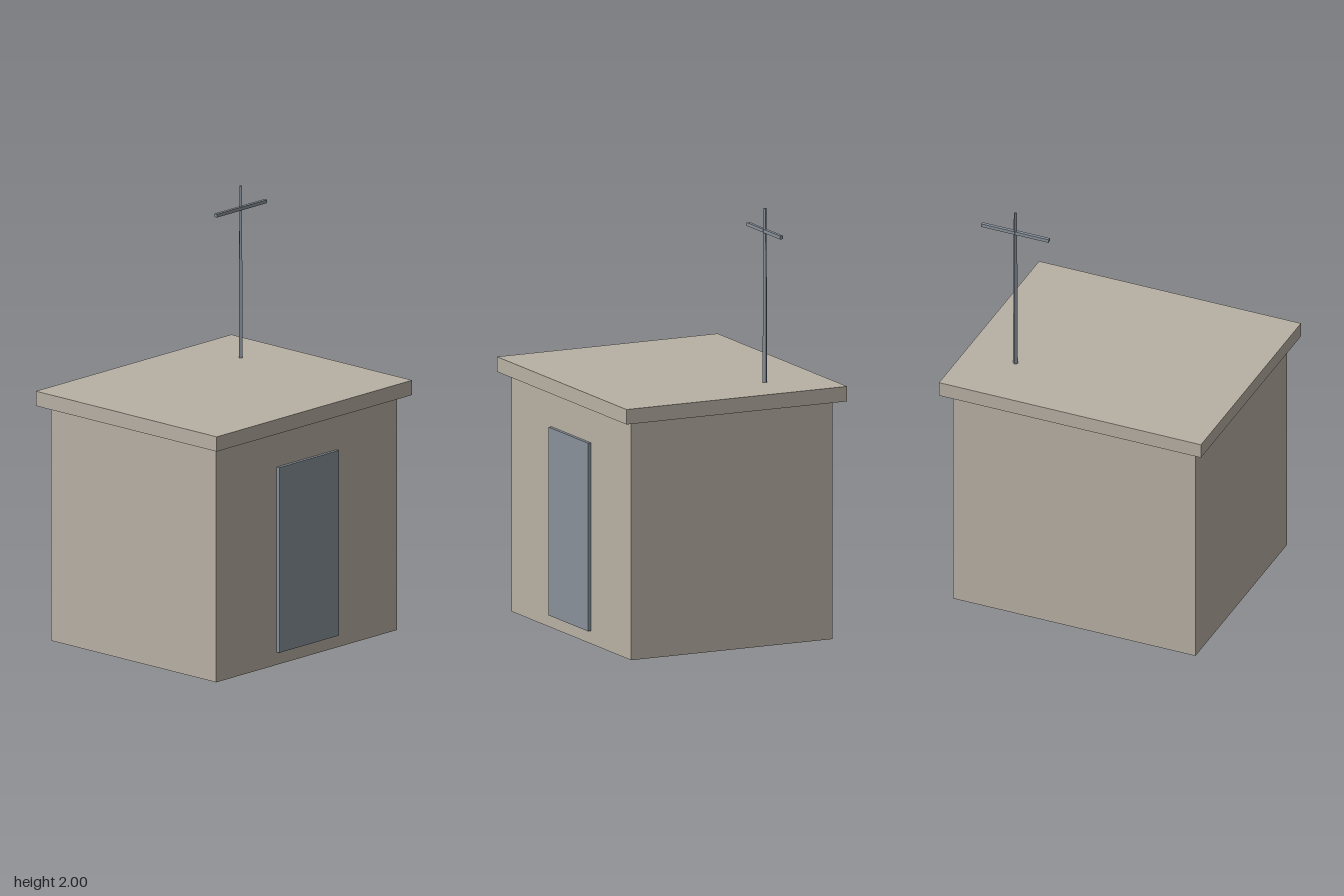
import * as THREE from 'three';

export function createModel() {
  const model = new THREE.Group();
  model.name = 'utilityHut';

  const concrete = new THREE.MeshStandardMaterial({ color: 0xb8b0a4 });
  concrete.name = 'concrete';
  const metal = new THREE.MeshStandardMaterial({ color: 0x88919a });
  metal.name = 'greyMetal';

  function add(name, geometry, material, x, y, z) {
    const mesh = new THREE.Mesh(geometry, material);
    mesh.name = name;
    mesh.position.set(x, y, z);
    model.add(mesh);
    return mesh;
  }

  // Hut body and overhanging roof slab
  add('walls', new THREE.BoxGeometry(1.212, 1.116, 1.034), concrete, 0, 0.558, 0);
  add('roofSlab', new THREE.BoxGeometry(1.31, 0.07, 1.132), concrete, 0, 1.151, 0);

  // Door standing slightly proud of the front wall
  add('door', new THREE.BoxGeometry(0.4, 0.88, 0.024), metal, 0, 0.5, 0.521);

  // Slim tapered antenna mast on the back left of the roof, with its crossbar
  const mast = new THREE.CylinderGeometry(0.008, 0.012, 0.815, 4).toNonIndexed();
  mast.computeVertexNormals();
  add('antennaMast', mast, metal, 0.403, 1.5925, -0.272);
  add('antennaCrossbar', new THREE.BoxGeometry(0.337, 0.016, 0.016), metal, 0.403, 1.894, -0.272);

  return model;
}
